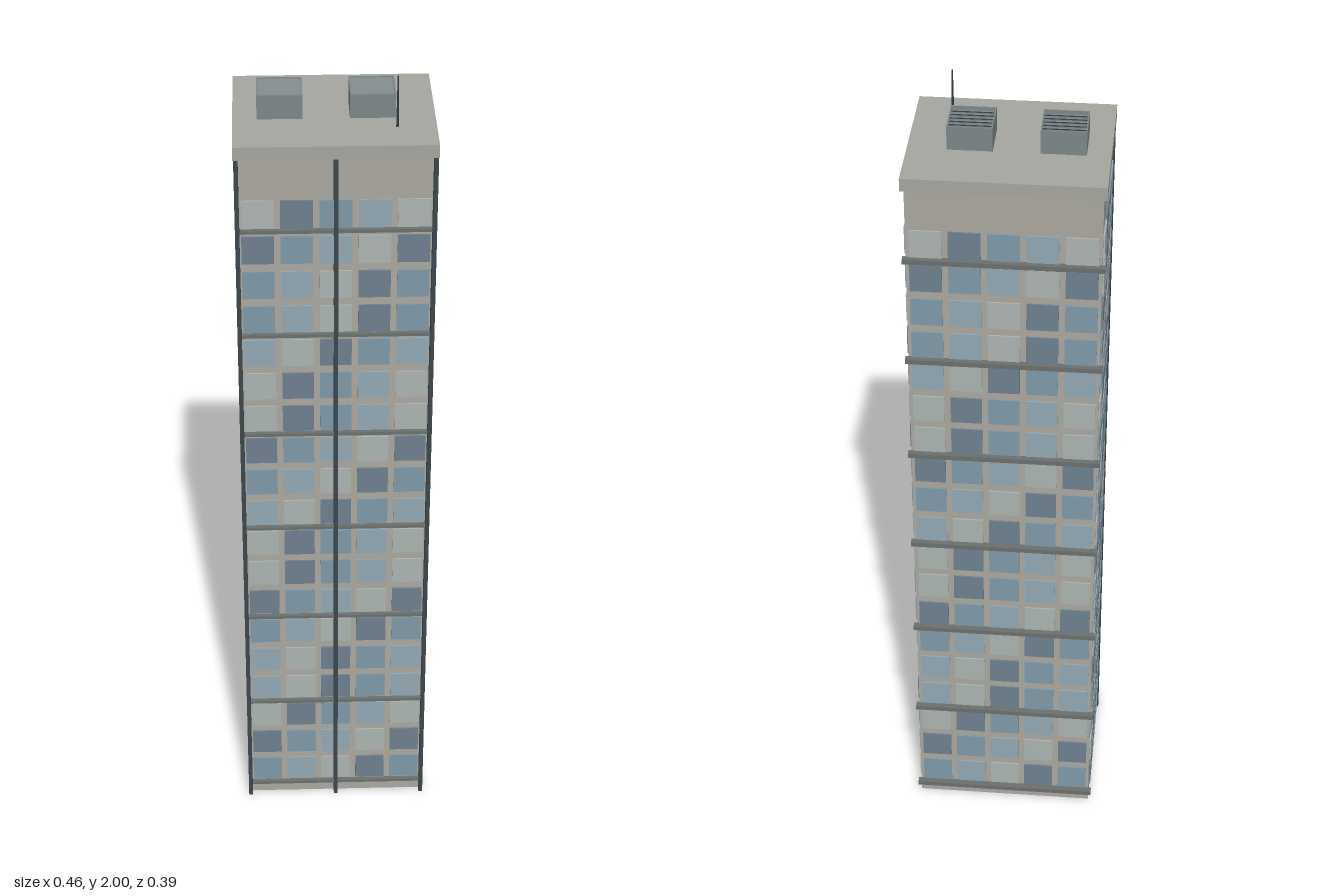
import * as THREE from 'three';

const material = (color) => new THREE.MeshStandardMaterial({ color });
const MAT = {
  wall: material(0xaaa8a0),
  roof: material(0xa6a7a0),
  fin: material(0x3c474c),
  ledge: material(0x6c706e),
  unit: material(0x7d8888),
  dark: material(0x343c40),
};
// Glass tints from dark to pale
const GLASS = [0x6f8090, 0x7f99a8, 0x93a8b2, 0xacb5b2].map(material);

function box(parent, name, mat, w, h, d, x, y, z) {
  const mesh = new THREE.Mesh(new THREE.BoxGeometry(w, h, d), mat);
  mesh.name = name;
  mesh.position.set(x, y, z);
  parent.add(mesh);
  return mesh;
}

// Column of the darkest pane in each floor, bottom to top
const LONG_PATTERN = '3012230112301123301';
const SHORT_PATTERN = '0123012201223123011';

// Grid of panes facing +z, turned to its side of the tower
function facade(name, columns, pattern, angle, x, z) {
  const group = new THREE.Group();
  group.name = name;
  const pane = new THREE.BoxGeometry(0.074, 0.07, 0.012);
  for (let row = 0; row < pattern.length; row++) {
    for (let col = 0; col < columns; col++) {
      const tint = (col - Number(pattern[row]) + 4) % 4;
      const mesh = new THREE.Mesh(pane, GLASS[tint]);
      mesh.name = 'windowPane';
      mesh.position.set((col - (columns - 1) / 2) * 0.0887, 0.079 + row * 0.0904, -0.002);
      group.add(mesh);
    }
  }
  group.rotation.y = angle;
  group.position.set(x, 0, z);
  return group;
}

// Rooftop cooling unit: low box, rim and tilted louvres
function coolingUnit(x) {
  const unit = new THREE.Group();
  unit.name = 'coolingUnit';
  const w = 0.104, d = 0.1, h = 0.058;
  box(unit, 'unitCore', MAT.dark, w - 0.006, 0.046, d - 0.006, 0, 0.023, 0);
  for (const s of [-1, 1]) {
    box(unit, 'unitSide', MAT.unit, 0.003, h, d, s * (w / 2 - 0.0015), h / 2, 0);
    box(unit, 'unitEnd', MAT.unit, w, h, 0.003, 0, h / 2, s * (d / 2 - 0.0015));
  }
  for (let i = 0; i < 6; i++) {
    const slat = box(unit, 'louvre', MAT.unit, w - 0.006, 0.002, 0.0145, 0, 0.053, (i - 2.5) * 0.0158);
    slat.rotation.x = 0.3;
  }
  unit.position.set(x, 1.877, -0.005);
  return unit;
}

export function createModel() {
  const tower = new THREE.Group();
  tower.name = 'towerBlock';

  // Main volume and roof
  box(tower, 'body', MAT.wall, 0.444, 1.845, 0.362, 0, 0.9225, -0.002);
  box(tower, 'roofSlab', MAT.roof, 0.46, 0.032, 0.383, 0, 1.861, -0.0025);

  // Windows on all four sides
  tower.add(facade('frontWindows', 5, LONG_PATTERN, 0, 0, 0.179));
  tower.add(facade('backWindows', 5, LONG_PATTERN, Math.PI, 0, -0.183));
  tower.add(facade('leftWindows', 4, SHORT_PATTERN, Math.PI / 2, 0.222, -0.001));
  tower.add(facade('rightWindows', 4, SHORT_PATTERN, -Math.PI / 2, -0.222, -0.001));

  // Vertical fins on the front
  for (const x of [-0.223, 0, 0.223]) {
    box(tower, 'frontFin', MAT.fin, 0.01, 1.845, 0.018, x, 0.9225, 0.187);
  }

  // Horizontal ledges every third floor
  for (let i = 0; i < 7; i++) {
    const y = 0.035 + i * 0.2717;
    box(tower, 'backLedge', MAT.ledge, 0.458, 0.012, 0.016, 0, y, -0.191);
    box(tower, 'frontBand', MAT.ledge, 0.446, 0.008, 0.014, 0, y, 0.183);
  }

  // Roof equipment
  tower.add(coolingUnit(-0.123), coolingUnit(0.088));
  const mast = new THREE.Mesh(new THREE.CylinderGeometry(0.0015, 0.003, 0.123, 8), MAT.dark);
  mast.name = 'antenna';
  mast.position.set(0.141, 1.9385, 0.091);
  tower.add(mast);

  return tower;
}
